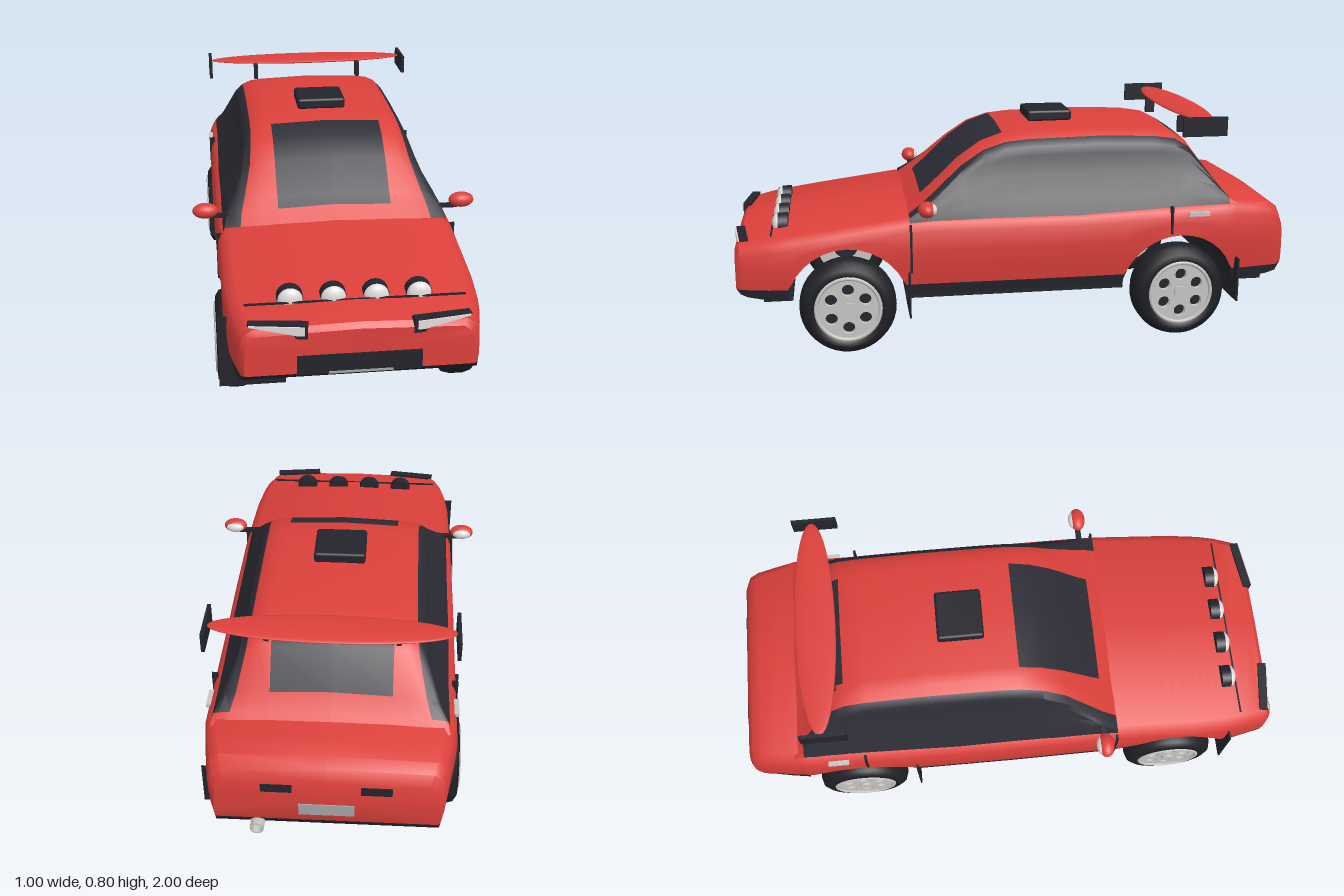
import * as THREE from 'three';
import { toCreasedNormals } from 'three/addons/utils/BufferGeometryUtils.js';
import { RoundedBoxGeometry } from 'three/addons/geometries/RoundedBoxGeometry.js';

const mat = (name, color, side = THREE.FrontSide) =>
  Object.assign(new THREE.MeshStandardMaterial({ color, side }), { name });

// Linear interpolation through [key, value] pairs with descending keys
function lerpTable(table, k) {
  for (let i = 0; i < table.length - 1; i++) {
    const [a, va] = table[i], [b, vb] = table[i + 1];
    if (k >= b) return k >= a ? va : vb + (va - vb) * (k - b) / (a - b);
  }
  return table[table.length - 1][1];
}

// Loft mirrored half sections (bottom centre, up the +x side, top centre) along descending z
function loft(stations, half, pick, materials) {
  const pos = [], buckets = materials.map(() => []);
  let n = 0;
  for (const z of stations) {
    const h = half(z);
    const ring = [...h, ...h.slice(1, -1).reverse().map(([x, y]) => [-x, y])];
    n = ring.length;
    ring.forEach(([x, y]) => pos.push(x, y, z));
  }
  for (let s = 0; s < stations.length - 1; s++) for (let i = 0; i < n; i++) {
    const a = s * n + i, b = s * n + (i + 1) % n, d = a + n, c = b + n;
    const row = i < n / 2 ? i : n - 1 - i;
    buckets[pick(row, (stations[s] + stations[s + 1]) / 2)].push(a, d, c, a, c, b);
  }
  for (const s of [0, stations.length - 1]) {
    const c = pos.length / 3, o = s * n;
    pos.push(0, (pos[o * 3 + 1] + pos[(o + n / 2) * 3 + 1]) / 2, stations[s]);
    for (let i = 0; i < n; i++) {
      const a = o + i, b = o + (i + 1) % n;
      buckets[0].push(c, ...(s === 0 ? [a, b] : [b, a]));
    }
  }
  const g = new THREE.BufferGeometry();
  g.setAttribute('position', new THREE.Float32BufferAttribute(pos, 3));
  g.setIndex(buckets.flat());
  let start = 0;
  buckets.forEach((b, i) => { g.addGroup(start, b.length, i); start += b.length; });
  return new THREE.Mesh(toCreasedNormals(g, 0.6), materials);
}

export function createModel() {
  const car = new THREE.Group();
  car.name = 'rallyCar';
  const red = mat('red paint', 0xdc403b), glass = mat('dark glass', 0x2c2d35);
  const trim = mat('black trim', 0x24252c), rubber = mat('tyre rubber', 0x1f2024);
  const metal = mat('light metal', 0xc6c5c3), lamp = mat('lamp glass', 0xdedddb);
  const plate = mat('plate grey', 0xa5a5a8);

  const add = (name, geo, m, x, y, z, parent = car) => {
    const mesh = new THREE.Mesh(geo, m);
    mesh.name = name;
    mesh.position.set(x, y, z);
    parent.add(mesh);
    return mesh;
  };
  const box = (name, m, w, h, d, x, y, z) => add(name, new THREE.BoxGeometry(w, h, d), m, x, y, z);

  // Lower body, with wheel arches cut through from side to side
  const axles = [0.61, -0.575], archR = 0.21, axleY = 0.17;
  const deck = [[0.99, 0.385], [0.975, 0.402], [0.9, 0.418], [0.37, 0.488], [-0.2, 0.485],
    [-0.78, 0.503], [-0.92, 0.485], [-0.96, 0.46], [-0.975, 0.42]];
  const width = [[0.99, 0.36], [0.975, 0.375], [0.85, 0.407], [0.7, 0.418], [0, 0.423],
    [-0.75, 0.42], [-0.9, 0.395], [-0.96, 0.38], [-0.975, 0.365]];
  const belly = [[0.99, 0.24], [0.97, 0.215], [0.9, 0.2], [-0.9, 0.2], [-0.955, 0.215], [-0.975, 0.25]];
  const flank = [[0.28, 0.94], [0.18, 0.985], [0.12, 1], [0.05, 0.985], [0.03, 0.96], [0.01, 0.89]];
  const bottomAt = z => {
    let y = lerpTable(belly, z);
    for (const a of axles) {
      const q = archR * archR - (z - a) ** 2;
      if (q > 0) y = Math.max(y, axleY + Math.sqrt(q));
    }
    return y;
  };
  const bodySection = z => {
    const yb = bottomAt(z), top = lerpTable(deck, z), w = lerpTable(width, z);
    const y0 = Math.max(yb, 0.238), y1 = Math.max(top - 0.055, y0);
    const ys = [yb, y0, y0 + (y1 - y0) / 3, y0 + (y1 - y0) * 2 / 3, y1, top - 0.03, top - 0.01];
    return [[0, yb], ...ys.map(y => [w * lerpTable(flank, top - y), y]), [0, top]];
  };
  const bodyZ = [0.99, 0.975, 0.95, 0.88, 0.3, 0, -0.2, -0.85, -0.92, -0.955, -0.975];
  for (const a of axles) for (let i = 0; i <= 16; i++)
    bodyZ.push(a + 0.2078 * Math.cos(Math.PI * i / 16));
  bodyZ.sort((a, b) => b - a);
  const body = loft(bodyZ, bodySection, row => (row < 2 ? 1 : 0), [red, trim]);
  body.name = 'lowerBody';
  car.add(body);

  // Cabin with side glass, windscreen and rear window
  const roof = [[0.39, 0.485], [0.34, 0.525], [0.3, 0.56], [0.2, 0.655], [0.12, 0.71], [0.04, 0.738],
    [-0.05, 0.747], [-0.3, 0.752], [-0.5, 0.745], [-0.58, 0.732], [-0.63, 0.7], [-0.72, 0.575],
    [-0.76, 0.52], [-0.8, 0.49]];
  const cabinSide = [[0.75, 0.29], [0.66, 0.307], [0.6, 0.325], [0.55, 0.35], [0.5, 0.383], [0.45, 0.4]];
  const cabinSection = z => {
    const h = lerpTable(roof, z), y1 = 0.45 + (h - 0.45) * 0.72, x1 = lerpTable(cabinSide, y1);
    const pts = [[0, 0.45]];
    for (let i = 0; i < 4; i++) {
      const y = 0.45 + (y1 - 0.45) * i / 3;
      pts.push([lerpTable(cabinSide, y), y]);
    }
    for (let i = 1; i <= 4; i++) {
      const a = i * Math.PI / 8;
      pts.push([0.2 + (x1 - 0.2) * Math.cos(a), y1 + (h - 0.008 - y1) * Math.sin(a)]);
    }
    return [...pts, [0, h]];
  };
  const cabin = loft(roof.map(r => r[0]), cabinSection, (row, z) => {
    const side = row >= 1 && row <= 5 && z < 0.37 && z > -0.76;
    const screen = row === 8 && ((z < 0.34 && z > 0.04) || (z < -0.58 && z > -0.72));
    return side || screen ? 1 : 0;
  }, [red, glass]);
  cabin.name = 'cabin';
  car.add(cabin);

  // Wheels, modelled facing +z and turned outwards
  const tyreGeo = new THREE.LatheGeometry([[0.112, -0.06], [0.14, -0.06], [0.16, -0.047], [0.168, -0.02],
    [0.168, 0.02], [0.16, 0.047], [0.14, 0.06], [0.118, 0.062], [0.112, 0.045]]
    .map(p => new THREE.Vector2(...p)), 40).rotateX(Math.PI / 2);
  const disc = new THREE.Shape().absarc(0, 0, 0.114, 0, Math.PI * 2);
  for (let i = 0; i < 6; i++) {
    const a = (i + 0.5) * Math.PI / 3;
    disc.holes.push(new THREE.Path().absarc(0.068 * Math.cos(a), 0.068 * Math.sin(a), 0.021, 0, Math.PI * 2, true));
  }
  const rimGeo = new THREE.ExtrudeGeometry(disc, { depth: 0.018, bevelEnabled: false, curveSegments: 24 });
  const drum = (r, d) => new THREE.CylinderGeometry(r, r, d, 28).rotateX(Math.PI / 2);
  for (const z of axles) for (const s of [1, -1]) {
    const wheel = new THREE.Group();
    wheel.name = 'wheel';
    add('tyre', tyreGeo, rubber, 0, 0, 0, wheel);
    add('rim', rimGeo, metal, 0, 0, 0.04, wheel);
    add('rimLip', new THREE.TorusGeometry(0.111, 0.007, 8, 36), metal, 0, 0, 0.06, wheel);
    add('hub', drum(0.024, 0.03), metal, 0, 0, 0.052, wheel);
    add('rimBacking', drum(0.113, 0.07), trim, 0, 0, 0, wheel);
    add('innerRim', new THREE.RingGeometry(0.05, 0.114, 32).rotateY(Math.PI), metal, 0, 0, -0.05, wheel);
    add('axleStub', drum(0.045, 0.03), trim, 0, 0, -0.045, wheel);
    wheel.position.set(s * 0.375, axleY, z);
    wheel.rotation.y = s * Math.PI / 2;
    car.add(wheel);
    // Mud flaps trail the +x wheels and lead the -x wheels
    box('mudFlap', trim, 0.215, s > 0 ? 0.16 : 0.25, 0.006, s * 0.327, s > 0 ? 0.205 : 0.237, z - s * 0.214);
  }

  // Underside trim
  box('floor', trim, 0.78, 0.03, 0.78, 0, 0.2, 0.018);
  box('frontSkid', trim, 0.68, 0.014, 0.1, 0, 0.186, 0.85);
  box('rearSkid', trim, 0.68, 0.02, 0.12, 0, 0.188, -0.85);

  // Nose: grille, number plate strip and bonnet seam
  box('grille', trim, 0.39, 0.066, 0.02, -0.003, 0.27, 0.983);
  box('frontPlate', plate, 0.2, 0.007, 0.004, 0, 0.241, 0.994);
  box('bonnetSeam', trim, 0.7, 0.006, 0.005, 0, 0.421, 0.865);
  const lens = new THREE.SphereGeometry(0.04, 24, 14);
  for (const x of [-0.205, -0.068, 0.068, 0.205]) {
    add('spotlightHousing', drum(0.042, 0.035), trim, x, 0.421, 0.828);
    add('spotlightLens', lens, lamp, x, 0.421, 0.846).scale.z = 0.55;
  }

  // Roof vent and rear wing
  add('roofVent', new RoundedBoxGeometry(0.18, 0.04, 0.165, 3, 0.01), trim, 0, 0.765, -0.155);
  add('rearWing', new THREE.SphereGeometry(1, 40, 20), red, 0, 0.787, -0.66).scale.set(0.4, 0.012, 0.072);

  // Tail: plate and exhaust
  box('rearPlate', plate, 0.18, 0.045, 0.008, 0, 0.3, -0.975);
  const pipe = new THREE.LatheGeometry([[0.023, -0.06], [0.023, 0.05], [0.017, 0.05], [0.017, -0.06]]
    .map(p => new THREE.Vector2(...p)), 24).rotateX(-Math.PI / 2);
  add('exhaust', toCreasedNormals(pipe, 0.6), metal, 0.225, 0.225, -0.95);
  add('exhaustCore', drum(0.018, 0.02), trim, 0.225, 0.225, -0.94);

  // Mirrored details
  const lightShape = (pts) => new THREE.Shape(pts.map(p => new THREE.Vector2(...p)));
  const housing = lightShape([[-0.095, -0.035], [-0.06, -0.035], [-0.045, -0.02], [0.09, 0.006], [0.09, 0.012], [-0.095, 0.012]]);
  const lensShape = lightShape([[-0.085, -0.022], [-0.06, -0.022], [0.085, 0.005], [0.085, 0.009], [-0.085, 0.006]]);
  for (const s of [1, -1]) {
    box('wingEndPlate', trim, 0.012, 0.068, 0.16, s * 0.404, 0.768, -0.65);
    box('wingStrut', trim, 0.016, 0.06, 0.035, s * 0.215, 0.745, -0.625);
    add('mirror', new THREE.SphereGeometry(1, 24, 16), red, s * 0.455, 0.52, 0.335).scale.set(0.045, 0.027, 0.03);
    add('mirrorGlass', new THREE.SphereGeometry(1, 20, 12), lamp, s * 0.455, 0.52, 0.322).scale.set(0.036, 0.021, 0.022);
    box('mirrorStalk', trim, 0.08, 0.012, 0.02, s * 0.4, 0.5, 0.335);
    box('doorSeam', trim, 0.022, 0.17, 0.008, s * 0.41, 0.37, 0.388);
    box('rearDoorSeam', trim, 0.022, 0.1, 0.008, s * 0.411, 0.435, -0.54);
    box('doorHandle', metal, 0.022, 0.014, 0.075, s * 0.412, 0.455, -0.64);
    box('tailLight', trim, 0.1, 0.032, 0.012, s * 0.16, 0.39, -0.972);
    // Angled headlight slits
    const light = new THREE.Group();
    light.name = 'headlight';
    const flip = pts => s > 0 ? pts : new THREE.Shape(pts.getPoints().map(p => new THREE.Vector2(-p.x, p.y)));
    add('headlightHousing', new THREE.ExtrudeGeometry(flip(housing), { depth: 0.03, bevelEnabled: false }), trim, 0, 0, -0.03, light);
    add('headlightLens', new THREE.ExtrudeGeometry(flip(lensShape), { depth: 0.005, bevelEnabled: false }), lamp, 0, 0, 0, light);
    light.position.set(s * 0.258, 0.397, 0.983);
    light.rotation.y = s * 0.13;
    car.add(light);
  }
  return car;
}
